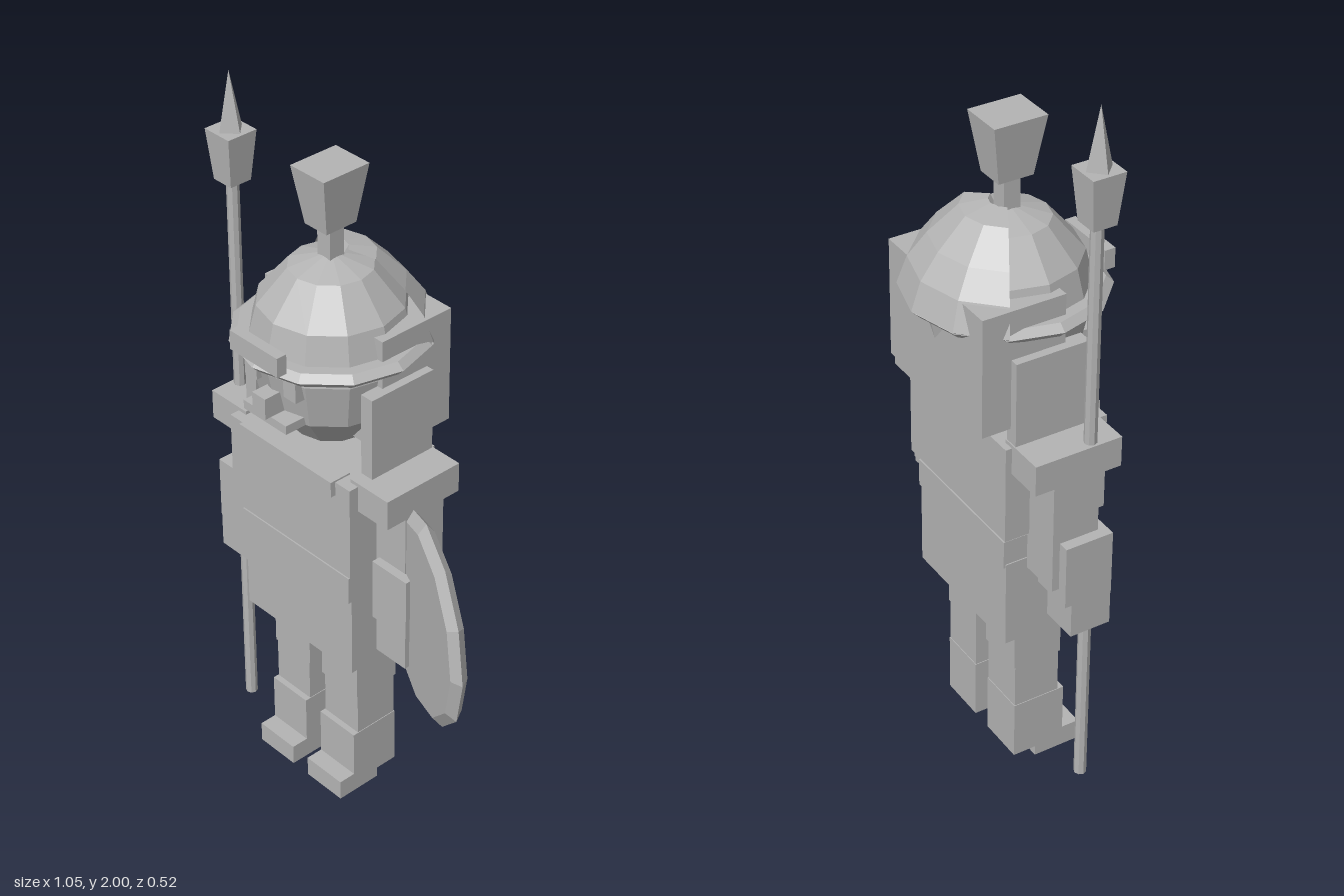
import * as THREE from 'three';

export function createModel() {
  const root = new THREE.Group();
  root.name = 'spearSoldier';
  const stone = new THREE.MeshStandardMaterial({ color: 0xb4b4b4, flatShading: true });
  stone.name = 'plainGrey';
  const thin = new THREE.MeshStandardMaterial({ color: 0xb4b4b4, flatShading: true, side: THREE.DoubleSide });
  thin.name = 'plainGreyThin';
  const CX = -0.16; // body centre line

  function add(name, geometry, x = 0, y = 0, z = 0, material = stone) {
    const mesh = new THREE.Mesh(geometry, material);
    mesh.name = name;
    mesh.position.set(x, y, z);
    root.add(mesh);
    return mesh;
  }
  // Box from its minimum and maximum on each axis
  function box(name, x0, x1, y0, y1, z0, z1) {
    return add(name, new THREE.BoxGeometry(x1 - x0, y1 - y0, z1 - z0),
      (x0 + x1) / 2, (y0 + y1) / 2, (z0 + z1) / 2);
  }
  // Two boxes mirrored about the centre line; a0 and a1 are distances from it
  function pair(name, a0, a1, y0, y1, z0, z1) {
    box('left' + name, CX + a0, CX + a1, y0, y1, z0, z1);
    box('right' + name, CX - a1, CX - a0, y0, y1, z0, z1);
  }
  // Square block that widens toward the top
  function taper(name, topW, topD, bottom, y0, y1, x, z) {
    const g = new THREE.BoxGeometry(topW, y1 - y0, topD);
    const p = g.attributes.position;
    for (let i = 0; i < p.count; i++) {
      if (p.getY(i) < 0) p.setXYZ(i, p.getX(i) * bottom, p.getY(i), p.getZ(i) * bottom);
    }
    return add(name, g, x, (y0 + y1) / 2, z);
  }
  function lathe(points, sides, start = 0, length = Math.PI * 2) {
    return new THREE.LatheGeometry(points.map(([r, y]) => new THREE.Vector2(r, y)), sides, start, length);
  }

  // Legs and boots
  pair('Thigh', 0.025, 0.165, 0.33, 0.48, -0.068, 0.072);
  pair('Shin', 0.032, 0.163, 0.03, 0.34, -0.064, 0.068);
  pair('Boot', 0.03, 0.165, 0.03, 0.2, -0.066, 0.085);
  pair('Foot', 0.03, 0.165, 0, 0.06, 0, 0.135);

  // Torso
  box('skirt', CX - 0.21, CX + 0.205, 0.47, 0.72, -0.125, 0.125);
  box('waist', CX - 0.2, CX + 0.2, 0.7, 0.82, -0.12, 0.125);
  box('belt', CX - 0.207, CX + 0.207, 0.71, 0.79, -0.13, 0.137);
  box('chest', CX - 0.228, CX + 0.228, 0.81, 1.085, -0.14, 0.15);
  box('collar', CX - 0.175, CX + 0.175, 1.045, 1.09, 0.1, 0.165);

  // Arms
  pair('Shoulder', 0.2, 0.335, 1.01, 1.095, -0.123, 0.122);
  pair('UpperArm', 0.22, 0.335, 0.7, 1.02, -0.07, 0.06);
  pair('Forearm', 0.24, 0.365, 0.66, 0.84, -0.05, 0.085);
  pair('Hand', 0.255, 0.363, 0.56, 0.67, -0.03, 0.085);

  // Head and hair
  const head = add('head', new THREE.SphereGeometry(0.21, 12, 6), CX, 1.345, 0);
  head.scale.y = 1.24;
  box('hair', CX - 0.217, CX + 0.217, 1.135, 1.465, -0.2, 0.03);
  pair('CheekGuard', 0.2, 0.24, 1.09, 1.33, -0.12, 0.085);

  // Face
  pair('Eye', 0.05, 0.095, 1.305, 1.36, 0.15, 0.205);
  box('nose', CX - 0.024, CX + 0.024, 1.24, 1.3, 0.17, 0.243);
  box('mouth', CX - 0.08, CX + 0.08, 1.215, 1.24, 0.15, 0.225);

  // Helmet: dome, brim, rear flap and front plate
  add('helmetDome', lathe([[0.218, 1.37], [0.19, 1.485], [0.11, 1.58], [0, 1.615]], 12), CX, 0, 0, thin);
  add('helmetBrim', lathe([[0.205, 1.37], [0.24, 1.37], [0.26, 1.39], [0.24, 1.408], [0.205, 1.408]], 12),
    CX, 0, 0, thin);
  add('rearFlap', lathe([[0.235, 1.37], [0.264, 1.395], [0.238, 1.47], [0.19, 1.535], [0.115, 1.61], [0.045, 1.625], [0.03, 1.6]],
    4, Math.PI * 2 / 3, Math.PI * 2 / 3), CX, 0, 0, thin);
  box('browPlate', CX - 0.088, CX + 0.088, 1.4, 1.455, 0.225, 0.255);

  // Plume
  box('plumeStem', CX - 0.023, CX + 0.023, 1.58, 1.7, -0.023, 0.023);
  taper('plume', 0.12, 0.146, 0.66, 1.693, 1.853, CX, 0);

  // Round shield, turned outward
  const shield = add('shield', lathe([[0, -0.022], [0.26, -0.022], [0.288, 0], [0.26, 0.022], [0, 0.022]], 12),
    0.265, 0.767, 0.075);
  shield.rotation.set(Math.PI / 2, 0, 0.43, 'XYZ');
  shield.rotation.order = 'YXZ';
  shield.rotation.set(Math.PI / 2, -0.44, 0);

  // Spear
  const SX = -0.473, SZ = 0.045;
  add('spearShaft', new THREE.CylinderGeometry(0.017, 0.017, 1.67, 8), SX, 0.875, SZ);
  taper('spearSocket', 0.09, 0.09, 0.72, 1.7, 1.84, SX, SZ);
  add('spearTip', new THREE.ConeGeometry(0.036, 0.16, 4), SX, 1.92, SZ);

  return root;
}
